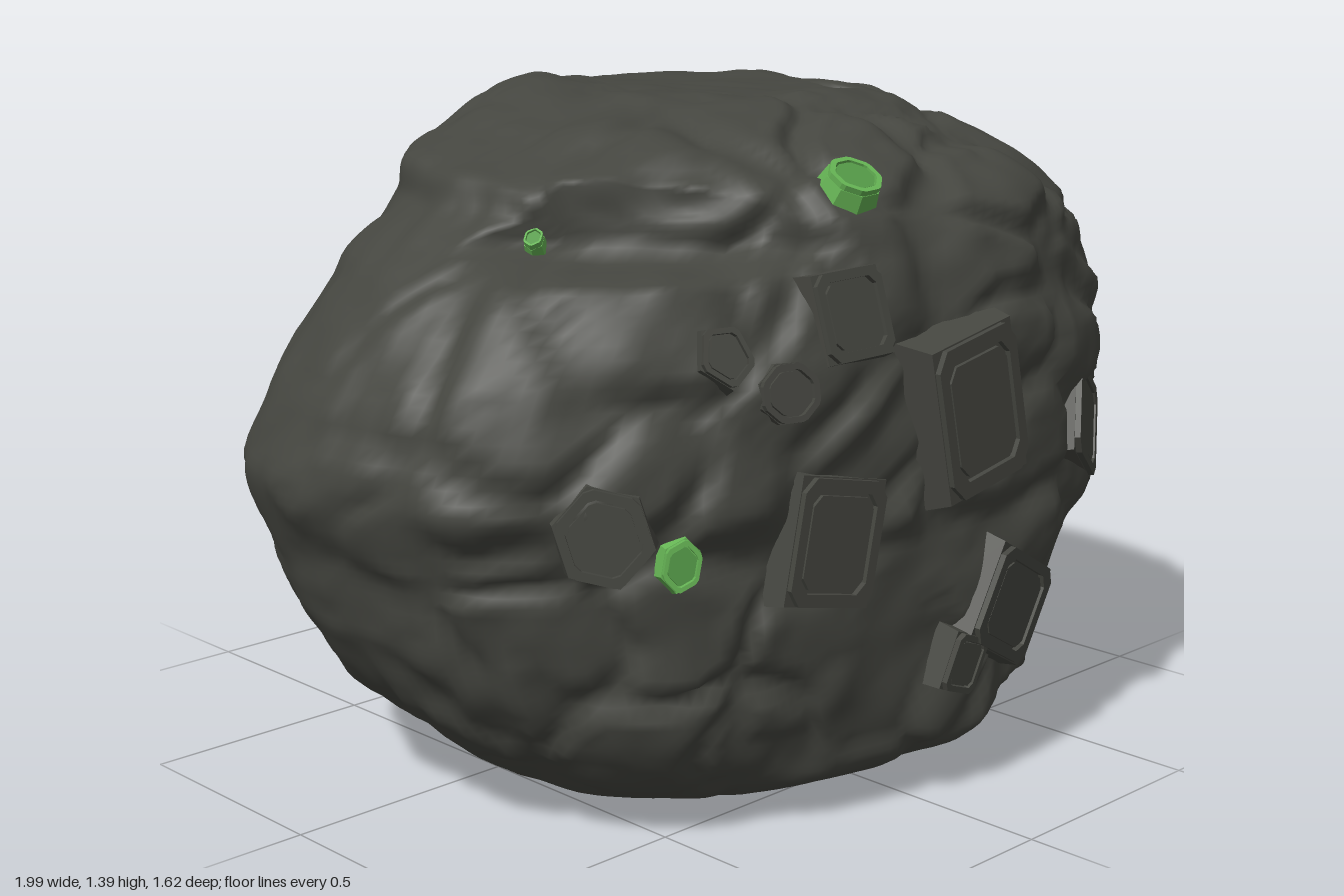
import * as THREE from 'three';

const rock = new THREE.MeshStandardMaterial({ color: 0x454640 });
rock.name = 'dark stone';
const green = new THREE.MeshStandardMaterial({ color: 0x66b555 });
green.name = 'bright green crystal';
const deepGreen = new THREE.MeshStandardMaterial({ color: 0x559a48 });
deepGreen.name = 'deep green crystal';

const { lerp, smoothstep, clamp } = THREE.MathUtils;

// Seeded lattice hash, value noise and cell noise
function hash(x, y, z, s = 0) {
  let h = Math.imul(x, 374761393) ^ Math.imul(y, 668265263) ^ Math.imul(z, 1274126177) ^ Math.imul(s + 7, 974634721);
  h = Math.imul(h ^ (h >>> 13), 1274126177);
  h = Math.imul(h ^ (h >>> 16), 2246822507);
  return ((h ^ (h >>> 15)) >>> 0) / 4294967296;
}
function noise(x, y, z) {
  const i = [x, y, z].map(Math.floor);
  const [u, v, w] = [x - i[0], y - i[1], z - i[2]].map((t) => t * t * (3 - 2 * t));
  let sum = 0;
  for (let c = 0; c < 8; c++) {
    const a = c & 1, b = (c >> 1) & 1, d = c >> 2;
    sum += hash(i[0] + a, i[1] + b, i[2] + d) * (a ? u : 1 - u) * (b ? v : 1 - v) * (d ? w : 1 - w);
  }
  return sum * 2 - 1;
}
function cellEdge(x, y, z) {
  const i = [x, y, z].map(Math.floor);
  let near = 9, next = 9;
  for (let a = -1; a < 2; a++) for (let b = -1; b < 2; b++) for (let c = -1; c < 2; c++) {
    const p = [i[0] + a, i[1] + b, i[2] + c];
    const d = Math.hypot(...p.map((q, k) => q + hash(...p, k + 1) - [x, y, z][k]));
    if (d < near) { next = near; near = d; } else if (d < next) next = d;
  }
  return next - near;
}

// Plan outline (x, z) and side limits: y, xMin, xMax, zMin, zMax
const PLAN = [[1, -0.1], [0.95, 0.25], [0.8, 0.5], [0.6, 0.66], [0.4, 0.74], [0.15, 0.76], [-0.1, 0.74],
  [-0.35, 0.69], [-0.55, 0.63], [-0.75, 0.52], [-0.92, 0.35], [-0.98, 0.14], [-1, -0.05], [-0.9, -0.3],
  [-0.7, -0.5], [-0.42, -0.64], [-0.2, -0.77], [0.1, -0.8], [0.35, -0.76], [0.6, -0.67], [0.8, -0.55], [0.95, -0.35]];
const LEVELS = [
  [0, -0.04, -0.04, 0.1, 0.1], [0, -0.36, 0.28, -0.18, 0.38], [0.012, -0.47, 0.38, -0.3, 0.49],
  [0.045, -0.57, 0.54, -0.44, 0.62], [0.12, -0.67, 0.69, -0.58, 0.73], [0.25, -0.81, 0.77, -0.715, 0.745],
  [0.4, -0.89, 0.87, -0.78, 0.75], [0.55, -0.94, 0.985, -0.8, 0.76], [0.7, -1, 0.995, -0.765, 0.765],
  [0.9, -0.92, 1, -0.69, 0.755], [1.07, -0.78, 0.93, -0.64, 0.715], [1.18, -0.63, 0.8, -0.625, 0.67],
  [1.26, -0.58, 0.7, -0.6, 0.57], [1.325, -0.38, 0.6, -0.55, 0.42], [1.362, -0.2, 0.5, -0.47, 0.2],
  [1.375, 0, 0, -0.28, -0.28]];

function boulderGeometry() {
  const vec = (list) => list.map((p) => new THREE.Vector3(...p));
  const plan = new THREE.CatmullRomCurve3(vec(PLAN.map(([x, z]) => [x, 0, z])), true);
  const wide = new THREE.CatmullRomCurve3(vec(LEVELS.map((l) => [l[1], l[0], l[2]])), false, 'catmullrom', 0.4);
  const deep = new THREE.CatmullRomCurve3(vec(LEVELS.map((l) => [l[3], l[0], l[4]])), false, 'catmullrom', 0.4);
  const rows = 120, cols = 180, pos = [], index = [];
  for (let i = 0; i <= rows; i++) {
    const w = wide.getPoint(i / rows), d = deep.getPoint(i / rows);
    for (let j = 0; j < cols; j++) {
      const q = plan.getPoint(j / cols);
      let x = lerp(w.x, w.z, (q.x + 1) / 2);
      let z = lerp(d.x, d.z, (q.z + 0.8) / 1.56);
      // terrace cut into the upper front right corner, undercut at the lower front left
      const terrace = Math.max(0, (z - x) * Math.SQRT1_2 - lerp(0.92, 0.57, smoothstep(w.y, 1.03, 1.14)));
      const undercut = Math.max(0, (z + x) * Math.SQRT1_2 - lerp(0.52, 1.2, smoothstep(w.y, 0, 0.45)));
      x += (terrace - undercut) * Math.SQRT1_2;
      z -= (terrace + undercut) * Math.SQRT1_2;
      // low peak at the back of the top
      const y = Math.max(0, w.y) + 0.03 * smoothstep(w.y, 1.2, 1.35) * Math.exp(-((x + 0.12) ** 2 + (z + 0.34) ** 2) / 0.02);
      // soft lumps all over, cracked stones towards the front
      const front = smoothstep(z, -0.1, 0.5);
      const wx = x + 0.1 * noise(x * 5, y * 5, z * 5 + 9), wy = y + 0.1 * noise(x * 5 + 20, y * 5, z * 5);
      const crack = 1 - smoothstep(cellEdge(wx * 3.4, wy * 3.9, z * 3.4), 0, 0.3);
      let bump = 0.013 * noise(x * 4, y * 4, z * 4) + 0.009 * noise(x * 9, y * 9, z * 9)
        + 0.008 * Math.abs(noise(x * 13, y * 13, z * 13)) - 0.003
        + 0.01 * front * (1 - 2.6 * crack) - 0.004 * crack;
      bump *= smoothstep(y, 0, 0.15);
      const out = new THREE.Vector3(x, (y - 0.7) * 1.1, z * 1.2).normalize();
      pos.push(clamp(x + out.x * bump, -1, 1), Math.max(0, y + out.y * bump), z + out.z * bump);
      if (i < rows) {
        const a = i * cols + j, b = i * cols + (j + 1) % cols;
        index.push(a, a + cols, b, b, a + cols, b + cols);
      }
    }
  }
  const g = new THREE.BufferGeometry();
  g.setAttribute('position', new THREE.Float32BufferAttribute(pos, 3));
  g.setIndex(index);
  g.computeVertexNormals();
  return g;
}

function add(parent, name, geometry, material) {
  const m = new THREE.Mesh(geometry, material);
  m.name = name;
  parent.add(m);
  return m;
}

// Polygon of given width and height, and a scaled copy with its corners cut
function polygon(sides, w, h) {
  const r = sides === 4 ? Math.SQRT1_2 : 0.5;
  return Array.from({ length: sides }, (_, i) => {
    const a = (i + 0.5) / sides * Math.PI * 2;
    return new THREE.Vector2(Math.cos(a) * r * w, Math.sin(a) * r * h);
  });
}
const cutCorners = (pts, k) => pts.flatMap((p, i) => {
  const prev = pts[(i + pts.length - 1) % pts.length].clone().multiplyScalar(k);
  const next = pts[(i + 1) % pts.length].clone().multiplyScalar(k);
  const mid = p.clone().multiplyScalar(k);
  return [mid.clone().lerp(prev, 0.12), mid.clone().lerp(next, 0.12)];
});
const extrude = (shape, depth) => new THREE.ExtrudeGeometry(shape, { depth, bevelEnabled: false });

// Tapered block with a raised rim around a sunken panel, facing +z
function makeBlock(name, w, h, sides, rimMat, panelMat, depth) {
  const g = new THREE.Group();
  g.name = name;
  const pts = polygon(sides, w, h);
  const body = extrude(new THREE.Shape(pts), depth);
  const p = body.attributes.position;
  for (let i = 0; i < p.count; i++) {
    const s = p.getZ(i) > depth / 2 ? 1 : 1.25;
    p.setXYZ(i, p.getX(i) * s, p.getY(i) * s, p.getZ(i) - depth);
  }
  body.computeVertexNormals();
  add(g, 'blockBody', body, rimMat);
  const rim = new THREE.Shape(cutCorners(pts, 0.98));
  rim.holes.push(new THREE.Path(cutCorners(pts, 0.78).reverse()));
  add(g, 'blockRim', extrude(rim, 0.012), rimMat);
  add(g, 'blockPanel', extrude(new THREE.Shape(cutCorners(pts, 0.72)), 0.009), panelMat);
  return g;
}

export function createModel() {
  const model = new THREE.Group();
  model.name = 'boulder';
  const body = add(model, 'boulderBody', boulderGeometry(), rock);

  // Smooth slab lying on the upper left shoulder
  const slab = add(model, 'shoulderSlab', new THREE.SphereGeometry(1, 40, 20), rock);
  slab.scale.set(0.28, 0.06, 0.21);
  slab.position.set(0.62, 1.225, 0.02);
  slab.rotation.set(0, 0.5, -0.53, 'ZYX');

  // Set a block on the front surface, turned by yaw, pitch and roll
  const ray = new THREE.Raycaster();
  function place(block, x, y, yaw, pitch, roll, lift) {
    ray.set(new THREE.Vector3(x, y, 3), new THREE.Vector3(0, 0, -1));
    const hit = ray.intersectObject(body)[0];
    block.rotation.set(-pitch, yaw, roll, 'YXZ');
    block.position.set(x, y, hit ? hit.point.z : 0.6);
    block.translateZ(lift);
    model.add(block);
  }

  // x, y, width, height, sides, yaw, pitch, roll, lift
  const blocks = [
    [0.075, 0.8, 0.24, 0.31, 4, 0, 0.04, 0.18, 0.04],
    [-0.26, 0.59, 0.21, 0.25, 4, -0.12, 0.02, -0.2, 0.035],
    [0.21, 0.375, 0.23, 0.21, 4, 0.12, -0.08, -0.5, 0.015],
    [0.54, 0.69, 0.25, 0.2, 4, 0.5, 0.08, -0.5, 0.005],
    [-0.71, 0.66, 0.19, 0.2, 6, -0.7, 0.05, 0.3, 0.008],
    [-0.2, 1.01, 0.16, 0.17, 4, -0.15, 0.3, 0.05, 0.02],
    [-0.48, 0.965, 0.11, 0.13, 5, -0.4, 0.35, 0.4, 0.015],
    [0.06, 0.29, 0.1, 0.12, 4, 0, -0.1, -0.35, 0.03],
    [-0.365, 0.89, 0.13, 0.12, 8, -0.3, 0.2, 0, 0.003]];
  for (const [x, y, w, h, sides, yaw, pitch, roll, lift] of blocks) {
    place(makeBlock('stoneBlock', w, h, sides, rock, rock, 0.16), x, y, yaw, pitch, roll, lift);
  }

  // Green crystals
  const gems = [
    [-0.1, 1.228, 0.12, 0.11, 8, -0.1, 1.0, 0.1, 0.028],
    [-0.565, 0.59, 0.08, 0.105, 6, -0.5, 0.1, -0.2, 0.03],
    [-0.57, 1.13, 0.04, 0.05, 6, -1.0, 0.9, 0, 0.016]];
  for (const [x, y, w, h, sides, yaw, pitch, roll, lift] of gems) {
    place(makeBlock('greenCrystal', w, h, sides, green, deepGreen, 0.06), x, y, yaw, pitch, roll, lift);
  }
  return model;
}
